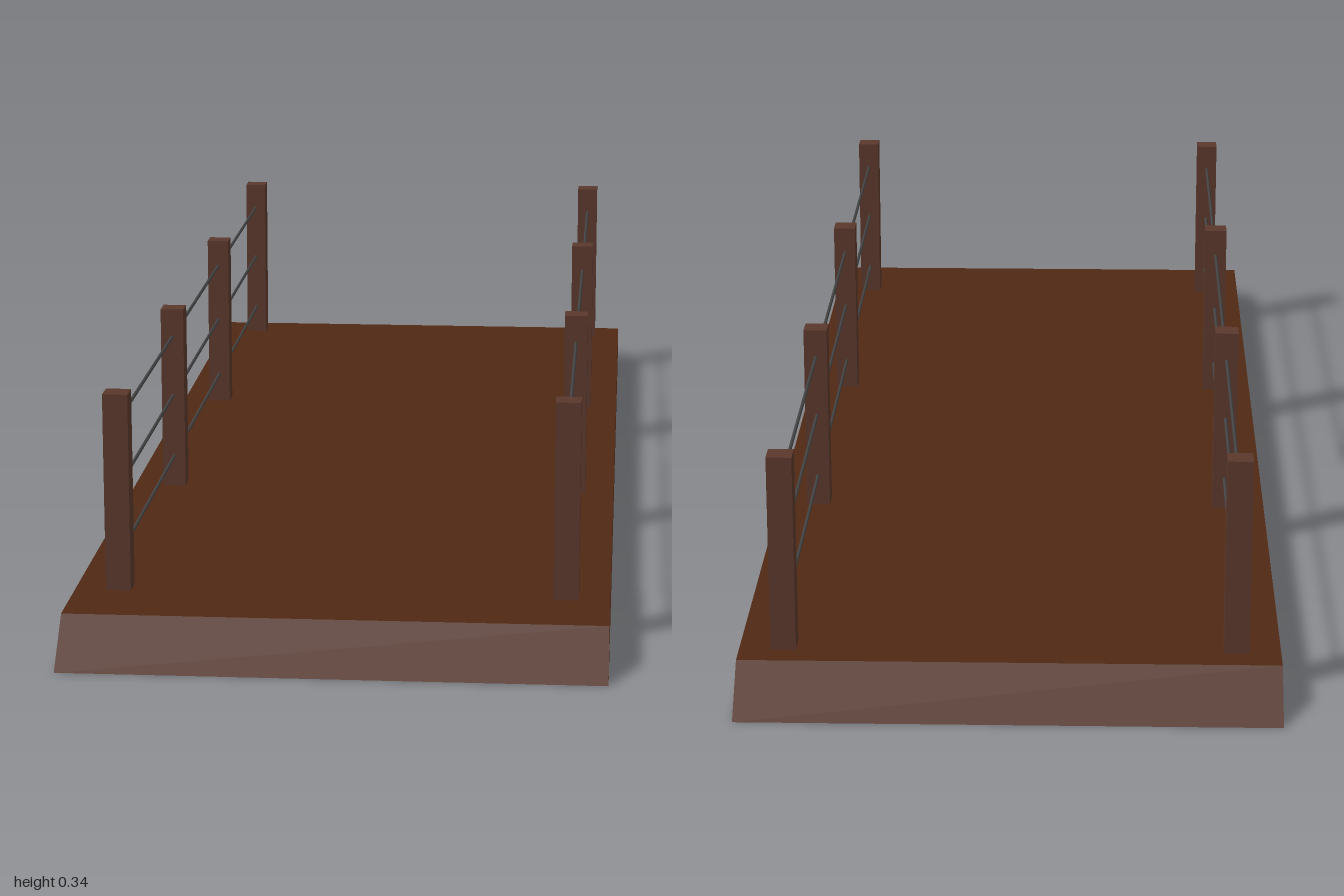
import * as THREE from 'three';

const deckMat = new THREE.MeshStandardMaterial({ color: 0x4f2814 });
const postMat = new THREE.MeshStandardMaterial({ color: 0x5a382b });
const wireMat = new THREE.MeshStandardMaterial({ color: 0x444444 });

const DECK_W = 0.744, DECK_H = 0.063, POST_H = 0.28, POST_W = 0.035;
const POST_Z = [0.805, 0.244, -0.318, -0.88];
const WIRE_Y = [0.11, 0.207, 0.3];

function addMesh(parent, name, geometry, material, x, y, z) {
  const mesh = new THREE.Mesh(geometry, material);
  mesh.name = name;
  mesh.position.set(x, y, z);
  parent.add(mesh);
  return mesh;
}

// Deck slab with sloped ramps at both ends, extruded across x
function deckGeometry() {
  const profile = new THREE.Shape([
    new THREE.Vector2(-1, 0), new THREE.Vector2(1, 0),
    new THREE.Vector2(0.935, DECK_H), new THREE.Vector2(-0.935, DECK_H),
  ]);
  const geometry = new THREE.ExtrudeGeometry(profile, { depth: DECK_W, bevelEnabled: false });
  return geometry.translate(0, 0, -DECK_W / 2).rotateY(-Math.PI / 2);
}

// One side railing: four posts joined by three thin wires
function railing(name, x) {
  const group = new THREE.Group();
  group.name = name;
  const postGeo = new THREE.BoxGeometry(POST_W, POST_H, POST_W);
  for (const z of POST_Z) addMesh(group, 'post', postGeo, postMat, x, DECK_H + POST_H / 2, z);

  const first = POST_Z[0], last = POST_Z[POST_Z.length - 1];
  const wireGeo = new THREE.CylinderGeometry(0.0025, 0.0025, first - last, 8).rotateX(Math.PI / 2);
  for (const y of WIRE_Y) addMesh(group, 'wire', wireGeo, wireMat, x, y, (first + last) / 2);
  return group;
}

export function createModel() {
  const model = new THREE.Group();
  model.name = 'footbridge';
  addMesh(model, 'deck', deckGeometry(), deckMat, 0, 0, 0);
  model.add(railing('leftRailing', 0.311), railing('rightRailing', -0.311));
  return model;
}
